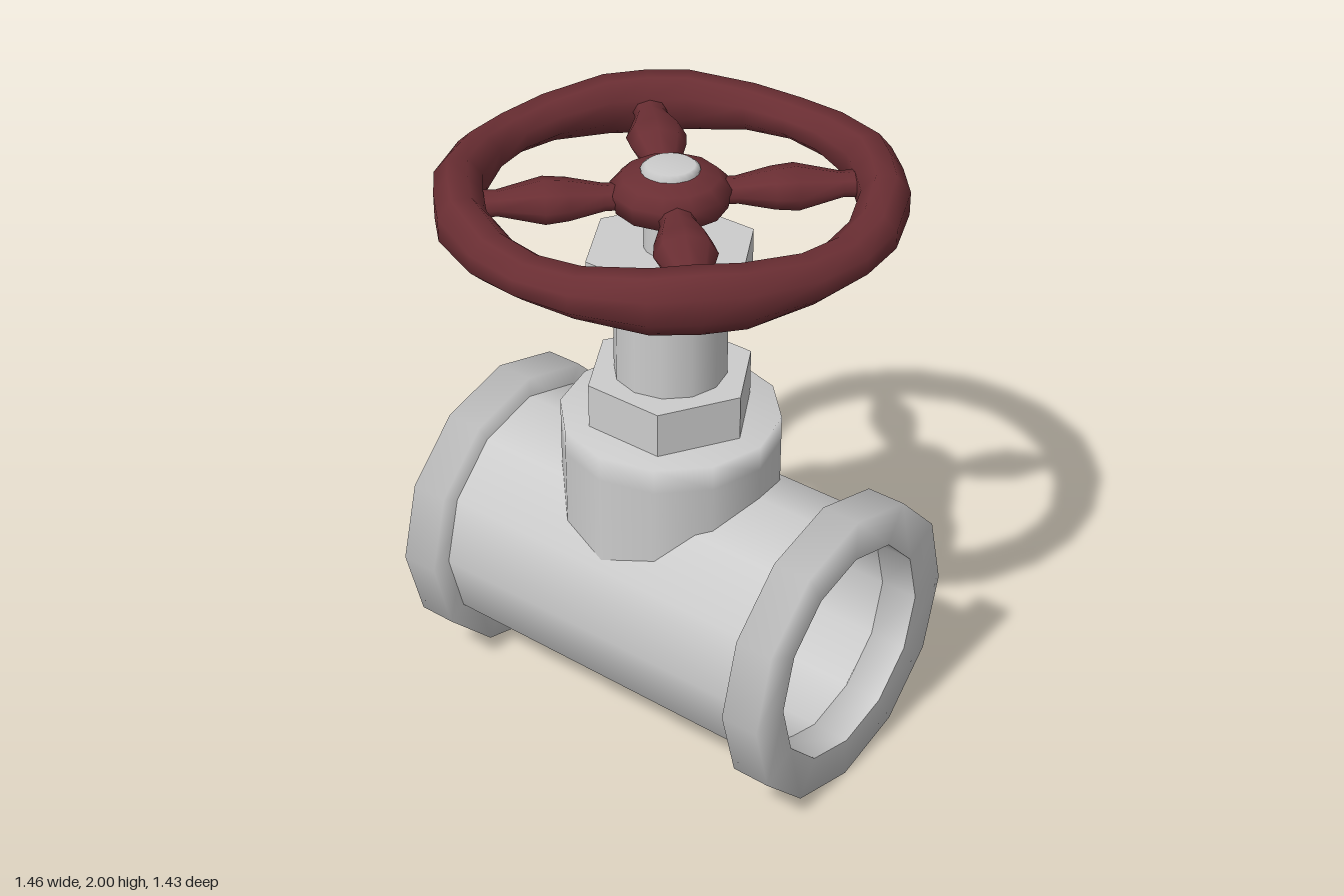
import * as THREE from 'three';

const grey = new THREE.MeshStandardMaterial({ color: 0xcccccc });
const greyFlat = new THREE.MeshStandardMaterial({ color: 0xcccccc, flatShading: true });
const red = new THREE.MeshStandardMaterial({ color: 0x6a2e33 });

const PIPE_Y = 0.508;
const WHEEL_Y = 1.903;

function add(parent, name, geometry, material) {
  const mesh = new THREE.Mesh(geometry, material);
  mesh.name = name;
  parent.add(mesh);
  return mesh;
}

// Turned part from [radius, height] pairs, listed so the outside faces out
function turned(points, sides = 12) {
  return new THREE.LatheGeometry(points.map(([r, y]) => new THREE.Vector2(r, y)), sides);
}

// Wheel rim: eight-sided tube that gets taller where the spokes meet it
function rimGeometry() {
  const steps = [0, 14.6, 33, 45, 57, 75.4];
  const rings = steps.length * 4;
  const sides = 8;
  const positions = [];
  const index = [];
  for (let i = 0; i < rings; i++) {
    const deg = steps[i % steps.length] + 90 * Math.floor(i / steps.length);
    const a = THREE.MathUtils.degToRad(deg);
    const rise = 0.06 + 0.036 * Math.sin(2 * a) ** 2;
    const radius = deg % 90 === 45 ? 0.632 : 0.641;
    for (let j = 0; j < sides; j++) {
      const p = ((j + 0.5) / sides) * Math.PI * 2;
      const r = radius + 0.08 * Math.cos(p);
      positions.push(r * Math.cos(a), rise * 1.08 * Math.sin(p), r * Math.sin(a));
      const i2 = (i + 1) % rings;
      const j2 = (j + 1) % sides;
      const q = [i * sides + j, i * sides + j2, i2 * sides + j, i2 * sides + j2];
      index.push(q[0], q[1], q[2], q[1], q[3], q[2]);
    }
  }
  const g = new THREE.BufferGeometry();
  g.setAttribute('position', new THREE.Float32BufferAttribute(positions, 3));
  g.setIndex(index);
  g.computeVertexNormals();
  return g;
}

function createPipe() {
  const pipe = new THREE.Group();
  pipe.name = 'pipe';
  add(pipe, 'pipeWall', turned([[0.433, -0.6], [0.433, 0.6]]), grey);
  add(pipe, 'pipeBore', turned([[0.365, 0.6], [0.365, -0.6]]), grey);
  // End flanges
  const ring = turned([
    [0.365, -0.065], [0.505, -0.065], [0.505, 0.065], [0.365, 0.065], [0.365, -0.065],
  ]);
  for (const side of [-1, 1]) {
    add(pipe, side > 0 ? 'leftFlange' : 'rightFlange', ring, grey).position.y = -side * 0.663;
  }
  pipe.rotation.z = Math.PI / 2;
  pipe.position.y = PIPE_Y;
  return pipe;
}

function createBonnet() {
  const bonnet = new THREE.Group();
  bonnet.name = 'bonnet';
  // Vertical body, reaching down into the bore
  add(bonnet, 'bonnetBody', turned([
    [0, 0.43], [0.355, 0.43], [0.355, 0.5], [0.355, 1.05], [0.355, 1.135], [0, 1.135],
  ]), grey);
  add(bonnet, 'neck', new THREE.CylinderGeometry(0.18, 0.18, 0.3, 12), grey).position.y = 1.425;
  // Hexagonal nuts with corners to the sides
  for (const [name, y0, y1] of [['lowerNut', 1.13, 1.285], ['upperNut', 1.57, 1.725]]) {
    const nut = add(bonnet, name, new THREE.CylinderGeometry(0.275, 0.275, y1 - y0, 6), greyFlat);
    nut.position.y = (y0 + y1) / 2;
    nut.rotation.y = Math.PI / 2;
  }
  add(bonnet, 'stem', turned([[0.083, 1.72], [0.083, 1.95]], 16), grey);
  add(bonnet, 'stemCap', turned([[0.09, 1.94], [0.09, 1.988], [0.075, 2.0], [0, 2.0]], 20), grey);
  return bonnet;
}

function createWheel() {
  const wheel = new THREE.Group();
  wheel.name = 'handWheel';
  add(wheel, 'rim', rimGeometry(), red);
  add(wheel, 'hub', turned([
    [0.05, -0.073], [0.1, -0.073], [0.175, -0.035], [0.185, 0.025], [0.15, 0.06], [0.09, 0.08], [0.05, 0.08],
  ], 12), red);
  // Four diagonal spokes, swelling along their length and flattened in height
  const spoke = turned([
    [0.055, 0.12], [0.055, 0.2], [0.086, 0.31], [0.095, 0.38], [0.052, 0.52], [0.06, 0.63],
  ], 8);
  spoke.scale(1, 1, 0.7);
  spoke.rotateX(Math.PI / 2);
  for (let i = 0; i < 4; i++) {
    add(wheel, 'spoke', spoke, red).rotation.y = Math.PI / 4 + (i * Math.PI) / 2;
  }
  wheel.position.y = WHEEL_Y;
  return wheel;
}

export function createModel() {
  const model = new THREE.Group();
  model.name = 'gateValve';
  model.add(createPipe(), createBonnet(), createWheel());
  return model;
}
